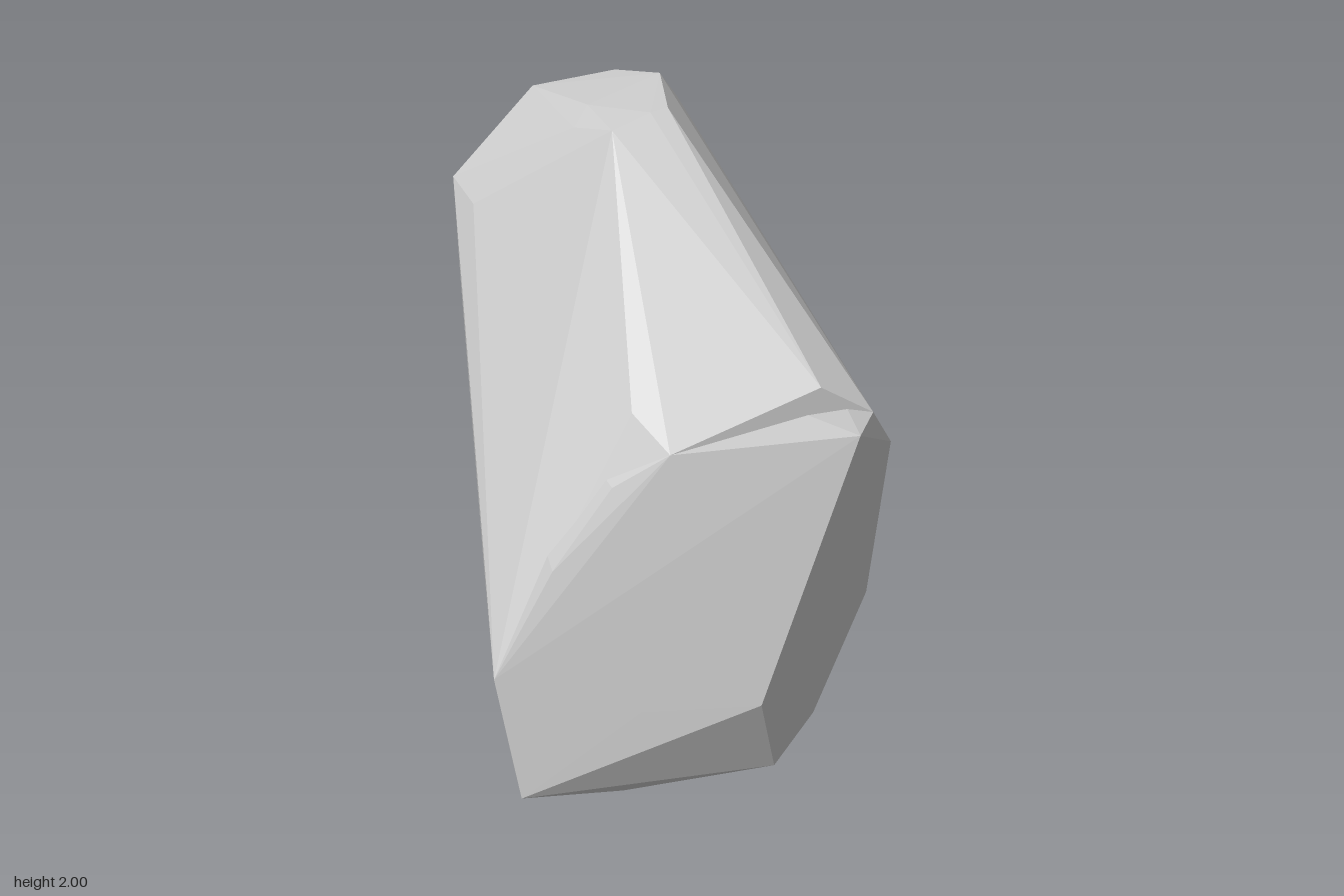
import * as THREE from 'three';
import { ConvexGeometry } from 'three/addons/geometries/ConvexGeometry.js';

const material = new THREE.MeshStandardMaterial({ color: 0xcccccc, flatShading: true });

// Faceted stone chunk spanned by its corner points
function chunk(name, corners) {
  const points = corners.map(c => new THREE.Vector3(...c));
  const mesh = new THREE.Mesh(new ConvexGeometry(points), material);
  mesh.name = name;
  return mesh;
}

// Corners where the two chunks meet
const shoulder = [
  [0.46, 1.26, 0.5], [0.59, 1.04, 0.33], [0.605, 1.04, -0.4], [0.46, 1.26, -0.47],
  [0.28, 1.15, -0.555], [-0.03, 1.04, -0.63], [-0.545, 1.3, -0.46],
  [-0.62, 0.58, 0.57], [-0.12, 1.25, 0.57],
];

export function createModel() {
  const rock = new THREE.Group();
  rock.name = 'rock';

  // Broad foot of the boulder, with a prow at the front left
  rock.add(chunk('rockBase', [
    ...shoulder,
    // flat underside
    [0.42, 0, 0.3], [0.23, 0, 0.5], [-0.25, 0, 0.5], [-0.56, 0, 0.33],
    [-0.52, 0, -0.36], [0.175, 0, -0.365], [0.42, 0, -0.23],
    // chamfered lower rim
    [-0.57, 0.15, 0.61], [-0.4, 0.3, 0.62], [-0.22, 0.44, 0.64], [0.12, 0.44, 0.69],
    [0.62, 0.36, 0.17], [0.58, 0.27, -0.36], [0.54, 0.1, -0.42], [0.47, 0.1, -0.43],
    [0.3, 0.34, -0.48], [-0.3, 0.4, -0.69], [-0.54, 0.2, -0.5],
    // front prow and slope
    [0.37, 1.29, 0.65], [-0.27, 1.15, 0.54], [-0.44, 0.91, 0.55],
  ]));

  // Tapering peak; its foot sinks into the base to leave shallow creases
  rock.add(chunk('rockPeak', [
    ...shoulder,
    [0.3, 1.37, 0.52], [-0.2, 1.33, 0.47], [0.05, 1.26, -0.57],
    // side corners
    [-0.51, 1.65, -0.23], [-0.55, 1.68, -0.37], [-0.3, 1.92, -0.41], [0.11, 1.88, -0.34],
    // summit
    [0.03, 2, -0.21], [0, 1.985, 0.02], [-0.05, 1.98, 0.03], [-0.16, 1.95, 0.06],
    [-0.24, 1.92, -0.06], [-0.19, 1.955, -0.13], [-0.07, 1.97, -0.35],
  ]));

  return rock;
}
